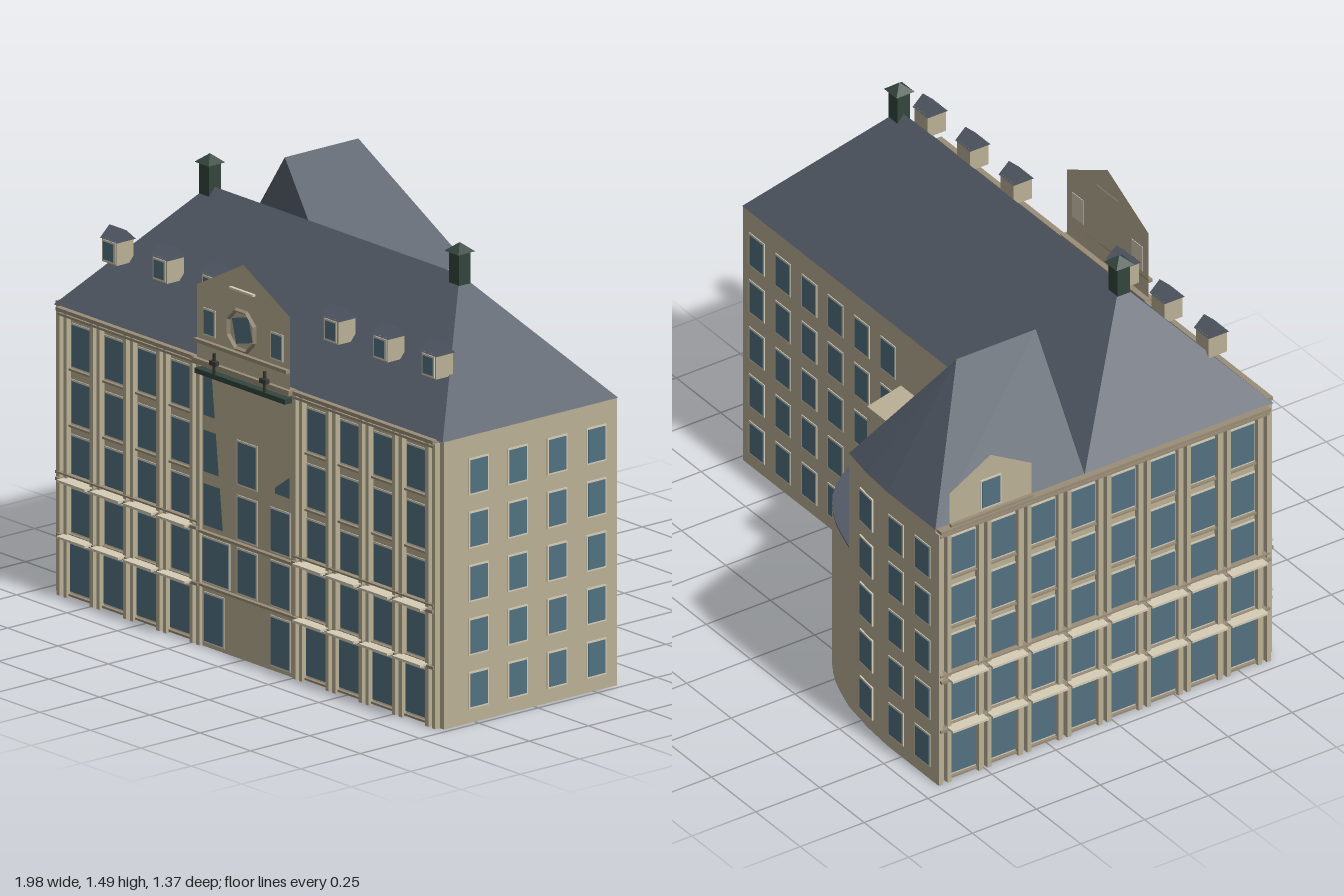
import * as THREE from 'three';

const mat = (color, side = THREE.FrontSide) =>
  new THREE.MeshStandardMaterial({ color, side, flatShading: true });
const WALL = mat(0xbab095), SLATE = mat(0x525a66, THREE.DoubleSide), GLASS = mat(0x527181);
const FRAME = mat(0xd6cdb6), TRIM = mat(0x9a8d78), GREEN = mat(0x33463d), DARK = mat(0x3a3a38);
const PLATE = mat(0xbab095, THREE.DoubleSide);
const EAVE = 0.97, RIDGE = 1.38;

function add(parent, name, geometry, material, x = 0, y = 0, z = 0) {
  const mesh = new THREE.Mesh(geometry, material);
  mesh.name = name;
  mesh.position.set(x, y, z);
  parent.add(mesh);
  return mesh;
}

// box given by its minimum and maximum corners
function box(parent, name, material, [x0, y0, z0], [x1, y1, z1]) {
  return add(parent, name, new THREE.BoxGeometry(x1 - x0, y1 - y0, z1 - z0), material,
    (x0 + x1) / 2, (y0 + y1) / 2, (z0 + z1) / 2);
}

// flat faces, each a fan over its corner points
function faces(polygons) {
  const pos = [];
  for (const p of polygons)
    for (let i = 1; i < p.length - 1; i++) pos.push(...p[0], ...p[i], ...p[i + 1]);
  const g = new THREE.BufferGeometry();
  g.setAttribute('position', new THREE.Float32BufferAttribute(pos, 3));
  g.computeVertexNormals();
  return g;
}

// upright prism over a plan of [x, z] points
function prism(plan, height) {
  const shape = new THREE.Shape(plan.map(([x, z]) => new THREE.Vector2(x, -z)));
  return new THREE.ExtrudeGeometry(shape, { depth: height, bevelEnabled: false }).rotateX(-Math.PI / 2);
}

// upright plate from [x, y] points
function plate(points) {
  return new THREE.ShapeGeometry(new THREE.Shape(points.map(p => new THREE.Vector2(...p))));
}

// facade: local +z points out of the wall
function facade(parent, name, x, z, turn) {
  const g = new THREE.Group();
  g.name = name;
  g.position.set(x, 0, z);
  g.rotation.y = turn;
  parent.add(g);
  return g;
}

function win(parent, x, y, w, h, z = 0) {
  box(parent, 'windowFrame', FRAME, [x - w / 2 - 0.006, y - h / 2 - 0.006, z - 0.002], [x + w / 2 + 0.006, y + h / 2 + 0.006, z + 0.003]);
  box(parent, 'windowPane', GLASS, [x - w / 2, y - h / 2, z], [x + w / 2, y + h / 2, z + 0.005]);
}

const PLAIN_ROWS = [0.11, 0.29, 0.47, 0.65, 0.83];
const RICH_ROWS = [[0.1, 0.16, 0.125], [0.295, 0.145, 0.1], [0.475, 0.14, 0.1], [0.66, 0.14, 0.1], [0.85, 0.14, 0.1]];

// decorated bays: windows, paired pilasters, shelf canopies
function richBays(g, start, count, step) {
  for (let i = 0; i <= count; i++) {
    const edge = start + i * step;
    for (const s of [-1, 1])
      box(g, 'pilaster', WALL, [edge + s * 0.017 - 0.008, 0, 0], [edge + s * 0.017 + 0.008, EAVE - 0.01, 0.02]);
    if (i === count) break;
    const c = edge + step / 2;
    for (const [y, h, w] of RICH_ROWS) {
      win(g, c, y, w, h);
      box(g, 'sill', TRIM, [c - step / 2 + 0.026, y - h / 2 - 0.014, 0], [c + step / 2 - 0.026, y - h / 2 - 0.007, 0.012]);
    }
    for (const y of [0.205, 0.395])
      box(g, 'canopy', FRAME, [c - 0.07, y, 0], [c + 0.07, y + 0.008, 0.052]);
  }
  const end = start + count * step;
  for (const [y, h, d] of [[0.2, 0.01, 0.026], [0.39, 0.01, 0.03], [0.412, 0.006, 0.024], [0.945, 0.008, 0.022], [0.96, 0.012, 0.028]])
    box(g, 'stringCourse', TRIM, [start - 0.02, y, 0], [end + 0.02, y + h, d]);
}

function chimney(parent, x, z) {
  const g = new THREE.Group();
  g.name = 'chimney';
  g.position.set(x, 0, z);
  parent.add(g);
  box(g, 'chimneyShaft', GREEN, [-0.025, 1.35, -0.025], [0.025, 1.46, 0.025]);
  const cap = new THREE.ConeGeometry(0.05, 0.03, 4).rotateY(Math.PI / 4);
  add(g, 'chimneyCap', cap, GREEN, 0, 1.473, 0);
}

function dormer(parent, x) {
  const g = facade(parent, 'dormer', x, 0.55, 0);
  box(g, 'dormerBody', WALL, [-0.036, 1.13, -0.072], [0.036, 1.212, 0]);
  win(g, 0, 1.17, 0.05, 0.06);
  const a = 0.042;
  add(g, 'dormerRoof', faces([
    [[-a, 1.208, 0.004], [a, 1.208, 0.004], [a, 1.245, -0.036], [-a, 1.245, -0.036]],
    [[a, 1.208, -0.076], [-a, 1.208, -0.076], [-a, 1.245, -0.036], [a, 1.245, -0.036]],
    [[a, 1.208, 0.004], [a, 1.208, -0.076], [a, 1.245, -0.036]],
    [[-a, 1.208, -0.076], [-a, 1.208, 0.004], [-a, 1.245, -0.036]],
  ]), SLATE);
}

export function createModel() {
  const model = new THREE.Group();
  model.name = 'cornerBuilding';

  // main block with hipped roof
  box(model, 'mainBlock', WALL, [-0.94, 0, -0.1], [0.98, EAVE, 0.63]);
  const A = [-0.945, EAVE, 0.64], B = [0.985, EAVE, 0.64], C = [0.985, EAVE, -0.1], D = [-0.945, EAVE, -0.1];
  const R0 = [-0.6, RIDGE, 0.275], R1 = [0.64, RIDGE, 0.275];
  add(model, 'mainRoof', faces([[A, B, R1, R0], [B, C, R1], [C, D, R0, R1], [D, A, R0]]), SLATE);
  chimney(model, -0.6, 0.275);
  chimney(model, 0.64, 0.275);
  for (const x of [-0.775, -0.525, -0.28, 0.325, 0.57, 0.81]) dormer(model, x);

  // rear wing, its back wall bending into the curve
  const back = [[-0.41, -0.65], [-0.54, -0.67], [-0.67, -0.68], [-0.94, -0.68]];
  add(model, 'rearWing', prism([[-0.94, -0.1], [-0.41, -0.1], ...back], EAVE), WALL);
  const apex = [-0.67, RIDGE, -0.41], ridge = [-0.67, RIDGE, -0.1];
  const eave = back.map(([x, z]) => [x, EAVE, z]);
  add(model, 'wingRoof', faces([
    [[-0.41, EAVE, -0.1], eave[0], apex, ridge],
    [eave[3], [-0.945, EAVE, -0.1], ridge, apex],
    [apex, ...eave],
  ]), SLATE);

  // low curved stair hall and the taller stub beside the main block
  const curve = new THREE.SplineCurve([[0.09, -0.1], [0.05, -0.26], [-0.09, -0.48], [-0.24, -0.59], [-0.41, -0.65]]
    .map(p => new THREE.Vector2(...p))).getPoints(14).map(p => [p.x, p.y]);
  add(model, 'curvedHall', prism([[-0.41, -0.1], ...curve], 0.607), WALL);
  const flat = curve.filter(p => p[1] < -0.25);
  add(model, 'curvedHallRoof', prism([[-0.41, -0.26], ...flat], 0.007), SLATE, 0, 0.606, 0);
  add(model, 'hallStub', prism([[-0.41, -0.1], [0.09, -0.1], [0.05, -0.26], [-0.41, -0.26]], 0.76), WALL);

  // plain side and rear windows
  const right = facade(model, 'rightFacade', 0.98, 0, Math.PI / 2);
  const rear = facade(model, 'rearFacade', 0, -0.1, Math.PI);
  const wingRear = facade(model, 'wingRearFacade', 0, -0.68, Math.PI);
  const bend = facade(model, 'bentRearFacade', -0.54, -0.669, Math.PI - 0.11);
  for (const y of PLAIN_ROWS) {
    for (const z of [0.485, 0.32, 0.155, -0.01]) win(right, -z, y, 0.072, 0.112);
    for (let i = 0; i < 6; i++) win(rear, -(0.9 - i * 0.148), y, 0.075, 0.112);
    for (const x of [-0.87, -0.72]) win(wingRear, -x, y, 0.075, 0.112);
    win(bend, 0, y, 0.075, 0.112, 0.002);
  }

  // decorated front and left facades
  const front = facade(model, 'frontFacade', 0, 0.63, 0);
  richBays(front, -0.895, 4, 0.165);
  richBays(front, 0.275, 4, 0.165);
  const left = facade(model, 'leftFacade', -0.94, 0, -Math.PI / 2);
  richBays(left, -0.655, 8, 0.156);

  // central bay: smooth panel with partly covered windows
  box(front, 'centrePanel', WALL, [-0.205, 0, 0], [0.25, EAVE, 0.012]);
  for (const [x, y, w, h] of [
    [-0.145, 0.1, 0.09, 0.16], [-0.135, 0.295, 0.125, 0.145], [0.185, 0.1, 0.09, 0.16],
    [0.185, 0.295, 0.09, 0.145], [0.185, 0.475, 0.09, 0.14],
    [0.02, 0.295, 0.09, 0.145], [0.02, 0.475, 0.09, 0.14], [0.02, 0.66, 0.09, 0.14],
  ]) win(front, x, y, w, h, 0.012);
  add(front, 'slantedGlass', plate([[-0.195, 0.41], [-0.1, 0.41], [-0.115, 0.55], [-0.195, 0.55]]), GLASS, 0, 0, 0.015);
  add(front, 'slantedGlass', plate([[-0.195, 0.59], [-0.12, 0.59], [-0.135, 0.73], [-0.195, 0.73]]), GLASS, 0, 0, 0.015);
  add(front, 'slantedGlass', plate([[-0.195, 0.78], [-0.14, 0.78], [-0.155, 0.92], [-0.195, 0.92]]), GLASS, 0, 0, 0.015);
  add(front, 'slantedGlass', plate([[0.16, 0.6], [0.23, 0.6], [0.23, 0.67], [0.16, 0.62]]), GLASS, 0, 0, 0.015);
  for (const y of [0.205, 0.385])
    box(front, 'centreCourse', TRIM, [-0.205, y, 0], [0.27, y + 0.008, 0.028]);

  // gable above the central bay
  const gable = facade(model, 'frontGable', 0.02, 0.66, 0);
  add(gable, 'gablePlate', plate([[-0.23, 0.95], [0.23, 0.95], [0.23, 1.22], [0, 1.34], [-0.23, 1.22]]), PLATE);
  for (const x of [-0.167, 0.167]) win(gable, x, 1.105, 0.05, 0.08);
  add(gable, 'roundWindowRing', new THREE.TorusGeometry(0.07, 0.008, 4, 8).rotateZ(Math.PI / 8), TRIM, 0, 1.12, 0.008);
  add(gable, 'roundWindowPane', new THREE.CircleGeometry(0.06, 4).rotateZ(1.05), GLASS, 0, 1.12, 0.005);
  box(gable, 'gableSill', TRIM, [-0.23, 1.03, 0], [0.23, 1.042, 0.015]);
  box(gable, 'gableCornice', TRIM, [-0.24, 0.958, -0.02], [0.24, 0.975, 0.014]);
  box(gable, 'balconyRail', GREEN, [-0.22, 0.928, -0.02], [0.23, 0.945, 0.02]);
  box(gable, 'flagBracket', FRAME, [-0.06, 1.248, 0], [0.06, 1.255, 0.012]);
  for (const x of [-0.125, 0.125]) {
    box(gable, 'lampStem', DARK, [x - 0.004, 0.94, 0.012], [x + 0.004, 1.015, 0.02]);
    box(gable, 'lampHead', DARK, [x - 0.016, 0.975, 0.01], [x + 0.016, 0.99, 0.026]);
  }

  // gable standing on the left eave of the wing
  const sideGable = facade(model, 'sideGable', -0.955, -0.475, -Math.PI / 2);
  add(sideGable, 'sideGablePlate', plate([[-0.16, 0.96], [0.16, 0.96], [0.16, 1.1], [0, 1.19], [-0.16, 1.1]]), PLATE);
  win(sideGable, 0, 1.05, 0.07, 0.1);
  box(sideGable, 'sideGableSill', TRIM, [-0.16, 0.975, 0], [0.16, 0.985, 0.012]);

  return model;
}
